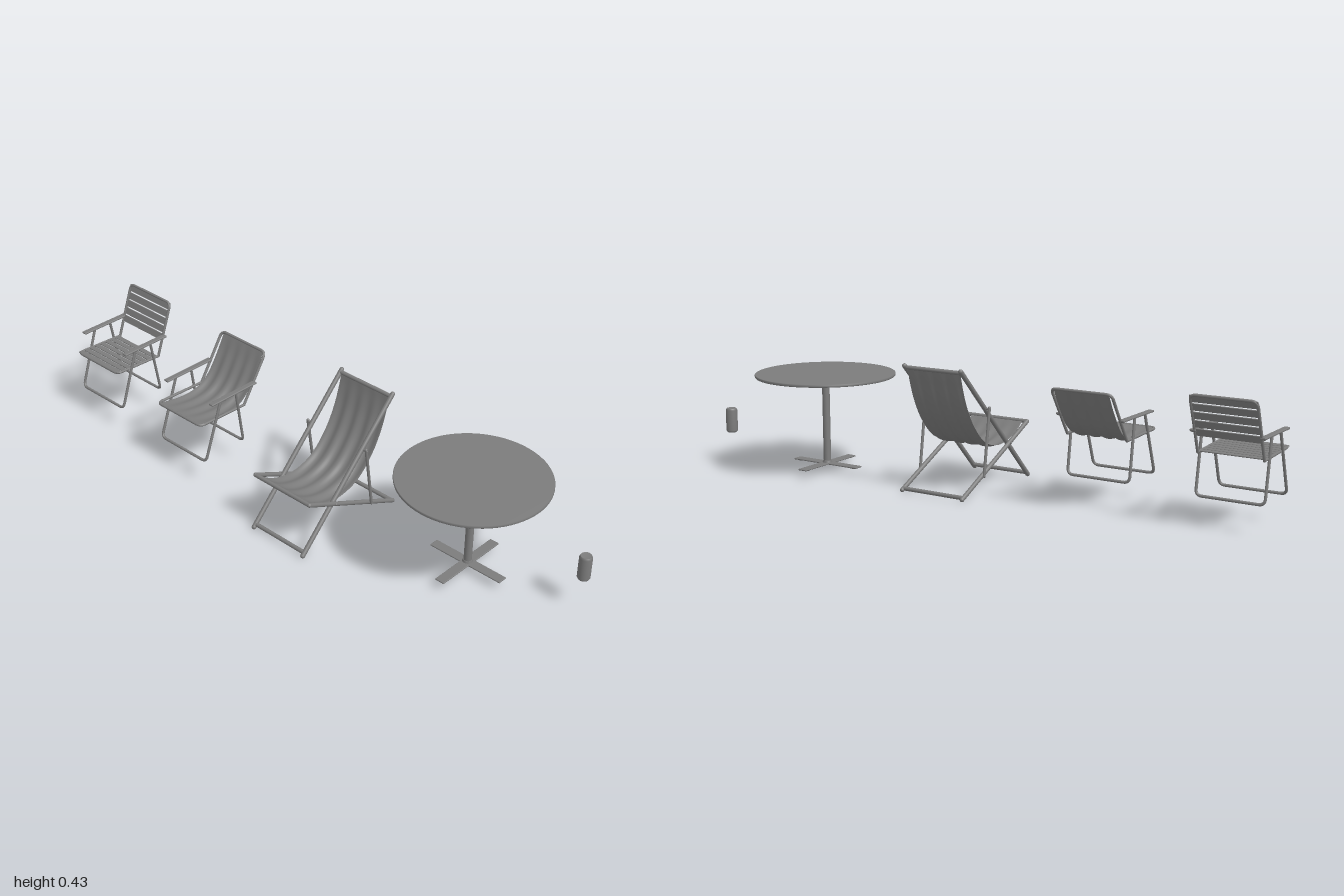
import * as THREE from 'three';
import { RoundedBoxGeometry } from 'three/addons/geometries/RoundedBoxGeometry.js';

const grey = new THREE.MeshStandardMaterial({ color: 0x7c7c7c });
const cloth = new THREE.MeshStandardMaterial({ color: 0x7c7c7c, side: THREE.DoubleSide });
const V = (x, y, z) => new THREE.Vector3(x, y, z);

function add(parent, name, geometry, x = 0, y = 0, z = 0, material = grey) {
  const mesh = new THREE.Mesh(geometry, material);
  mesh.name = name;
  mesh.position.set(x, y, z);
  parent.add(mesh);
  return mesh;
}

// Round-ended straight rod between two points
function rod(parent, name, a, b, r) {
  const dir = b.clone().sub(a);
  const mid = a.clone().add(b).multiplyScalar(0.5);
  const m = add(parent, name, new THREE.CapsuleGeometry(r, dir.length(), 5, 14), mid.x, mid.y, mid.z);
  m.quaternion.setFromUnitVectors(V(0, 1, 0), dir.normalize());
}

// Bent tube with rounded corners
function bentTube(parent, name, pts, r, bend = 0.02) {
  const path = new THREE.CurvePath();
  let start = pts[0];
  for (let i = 1; i < pts.length - 1; i++) {
    const p = pts[i];
    const a = p.clone().add(pts[i - 1].clone().sub(p).setLength(bend));
    const b = p.clone().add(pts[i + 1].clone().sub(p).setLength(bend));
    path.add(new THREE.LineCurve3(start, a));
    path.add(new THREE.QuadraticBezierCurve3(a, p, b));
    start = b;
  }
  path.add(new THREE.LineCurve3(start, pts[pts.length - 1]));
  add(parent, name, new THREE.TubeGeometry(path, 110, r, 10));
  for (const e of [pts[0], pts[pts.length - 1]])
    add(parent, name + 'End', new THREE.SphereGeometry(r, 10, 6), e.x, e.y, e.z);
}

// Hanging fabric swept along a [z, y] profile, with soft lengthwise folds
function sling(parent, name, profile, halfWidth, fold, folds) {
  const curve = new THREE.CatmullRomCurve3(profile.map(([z, y]) => V(0, y, z)));
  const geo = new THREE.PlaneGeometry(1, 1, 48, 48);
  const pos = geo.attributes.position;
  for (let i = 0; i < pos.count; i++) {
    const u = pos.getX(i) * 2, t = Math.min(1, Math.max(0, 0.5 - pos.getY(i)));
    const p = curve.getPointAt(t), d = curve.getTangentAt(t);
    const w = fold * Math.sin(Math.PI * t) * Math.cos(u * Math.PI * folds);
    pos.setXYZ(i, u * halfWidth, p.y + d.z * w, p.z - d.y * w);
  }
  geo.computeVertexNormals();
  add(parent, name, geo, 0, 0, 0, cloth);
}

// U-shaped tube: two sides joined by a crossbar at the second [z, y] point
function uFrame(parent, name, w, [z0, y0], [z1, y1], r = 0.0048) {
  bentTube(parent, name, [V(-w, y0, z0), V(-w, y1, z1), V(w, y1, z1), V(w, y0, z0)], r);
}

// Folding armchair base shared by both armchairs
function armchairFrame(name, x, o) {
  const g = new THREE.Group();
  g.name = name;
  g.position.x = x;
  uFrame(g, 'frontLegs', 0.111, [o.front[0], 0.3], [o.front[1], 0.094]);
  uFrame(g, 'rearLegs', 0.111, [o.rear[0], 0.3], [o.rear[1], 0.097]);
  uFrame(g, 'backFrame', 0.106, o.hinge, o.top);
  uFrame(g, 'seatFrame', 0.106, o.hinge, o.seatFront);
  for (const s of [-1, 1]) {
    add(g, 'armrest', new RoundedBoxGeometry(0.02, 0.007, o.arm[1] - o.arm[0], 3, 0.003),
      s * 0.111, 0.304, (o.arm[0] + o.arm[1]) / 2);
    // Links from the armrest back to the backrest
    rod(g, 'armHinge', V(s * 0.104, 0.302, o.arm[0] + 0.005), V(s * 0.115, 0.302, o.arm[0] + 0.005), 0.004);
  }
  return g;
}

// Flat slats laid along a line between two [z, y] points
function slats(parent, name, [z0, y0], [z1, y1], count, depth) {
  for (let i = 0; i < count; i++) {
    const t = (i + 0.5) / count;
    const m = add(parent, name, new RoundedBoxGeometry(0.216, 0.004, depth, 2, 0.0015),
      0, y0 + (y1 - y0) * t, z0 + (z1 - z0) * t);
    m.rotation.x = -Math.atan2(y1 - y0, z1 - z0);
  }
}

function slatChair() {
  const g = armchairFrame('slattedArmchair', -0.879, {
    front: [0.115, 0.187], rear: [0.045, 0.012], hinge: [0.008, 0.232],
    top: [-0.062, 0.418], seatFront: [0.197, 0.24], arm: [-0.025, 0.165],
  });
  slats(g, 'backSlat', [-0.063, 0.42], [-0.012, 0.285], 5, 0.0245);
  slats(g, 'seatSlat', [0.012, 0.234], [0.2, 0.242], 8, 0.0195);
  return g;
}

function slingChair() {
  const g = armchairFrame('fabricArmchair', -0.42, {
    front: [0.135, 0.212], rear: [0.065, 0.038], hinge: [0.025, 0.233],
    top: [-0.081, 0.394], seatFront: [0.224, 0.24], arm: [-0.025, 0.18],
  });
  sling(g, 'fabricSeat', [[-0.083, 0.396], [-0.048, 0.33], [0, 0.262], [0.04, 0.233],
    [0.09, 0.223], [0.15, 0.227], [0.225, 0.243]], 0.097, 0.003, 4);
  return g;
}

function deckChair() {
  const g = new THREE.Group();
  g.name = 'deckChair';
  g.position.x = 0.095;
  for (const s of [-1, 1]) {
    rod(g, 'longFrameRail', V(s * 0.11, 0.009, 0.276), V(s * 0.11, 0.426, -0.137), 0.008);
    rod(g, 'seatFrameRail', V(s * 0.119, 0.2, 0.254), V(s * 0.119, 0.01, -0.145), 0.0075);
    rod(g, 'backStrut', V(s * 0.128, 0.288, 0.004), V(s * 0.128, 0.065, -0.028), 0.005);
    rod(g, 'pivot', V(s * 0.105, 0.147, 0.139), V(s * 0.126, 0.147, 0.139), 0.004);
    rod(g, 'strutPivot', V(s * 0.11, 0.284, 0.004), V(s * 0.13, 0.284, 0.004), 0.004);
  }
  // Crossbars
  for (const [name, w, y, z] of [['topBar', 0.11, 0.42, -0.131], ['frontFootBar', 0.11, 0.017, 0.268],
    ['seatFrontBar', 0.119, 0.2, 0.254], ['rearFootBar', 0.119, 0.014, -0.138]])
    rod(g, name, V(-w, y, z), V(w, y, z), 0.007);
  sling(g, 'canvasSling', [[-0.131, 0.427], [-0.122, 0.385], [-0.098, 0.31], [-0.057, 0.235],
    [0.01, 0.167], [0.08, 0.143], [0.14, 0.145], [0.2, 0.166], [0.257, 0.206]], 0.104, 0.004, 4);
  return g;
}

function table() {
  const g = new THREE.Group();
  g.name = 'roundTable';
  g.position.set(0.615, 0, -0.041);
  // Top with a softened rim
  const rim = [[0, 0.341], [0.241, 0.341], [0.243, 0.343], [0.243, 0.349], [0.241, 0.351], [0, 0.351]];
  add(g, 'tableTop', new THREE.LatheGeometry(rim.map(p => new THREE.Vector2(...p)), 72));
  add(g, 'mountPlate', new THREE.CylinderGeometry(0.071, 0.071, 0.006, 40), 0, 0.338, 0);
  add(g, 'upperCollar', new THREE.CylinderGeometry(0.019, 0.016, 0.007, 28), 0, 0.332, 0);
  add(g, 'pedestal', new THREE.CylinderGeometry(0.013, 0.013, 0.3, 28), 0, 0.182, 0);
  add(g, 'lowerCollar', new THREE.CylinderGeometry(0.015, 0.018, 0.011, 28), 0, 0.035, 0);
  // Four flat feet
  for (let i = 0; i < 4; i++) {
    const foot = new THREE.Group();
    foot.name = 'foot';
    foot.rotation.y = i * Math.PI / 2;
    add(foot, 'footBar', new RoundedBoxGeometry(0.138, 0.005, 0.034, 2, 0.002), 0.069, 0.031, 0);
    add(foot, 'footPad', new THREE.CylinderGeometry(0.016, 0.014, 0.003, 20), 0.118, 0.0285, 0);
    g.add(foot);
  }
  return g;
}

function can() {
  const g = new THREE.Group();
  g.name = 'drinkCan';
  g.position.set(0.979, 0.115, -0.129);
  const profile = [[0, 0.003], [0.014, 0.003], [0.0155, 0], [0.017, 0.001], [0.0205, 0.007],
    [0.0205, 0.08], [0.0175, 0.086], [0.0165, 0.087], [0.0155, 0.085], [0, 0.085]];
  add(g, 'canBody', new THREE.LatheGeometry(profile.map(p => new THREE.Vector2(...p)), 36));
  return g;
}

export function createModel() {
  const model = new THREE.Group();
  model.name = 'gardenFurniture';
  model.add(slatChair(), slingChair(), deckChair(), table(), can());
  return model;
}
